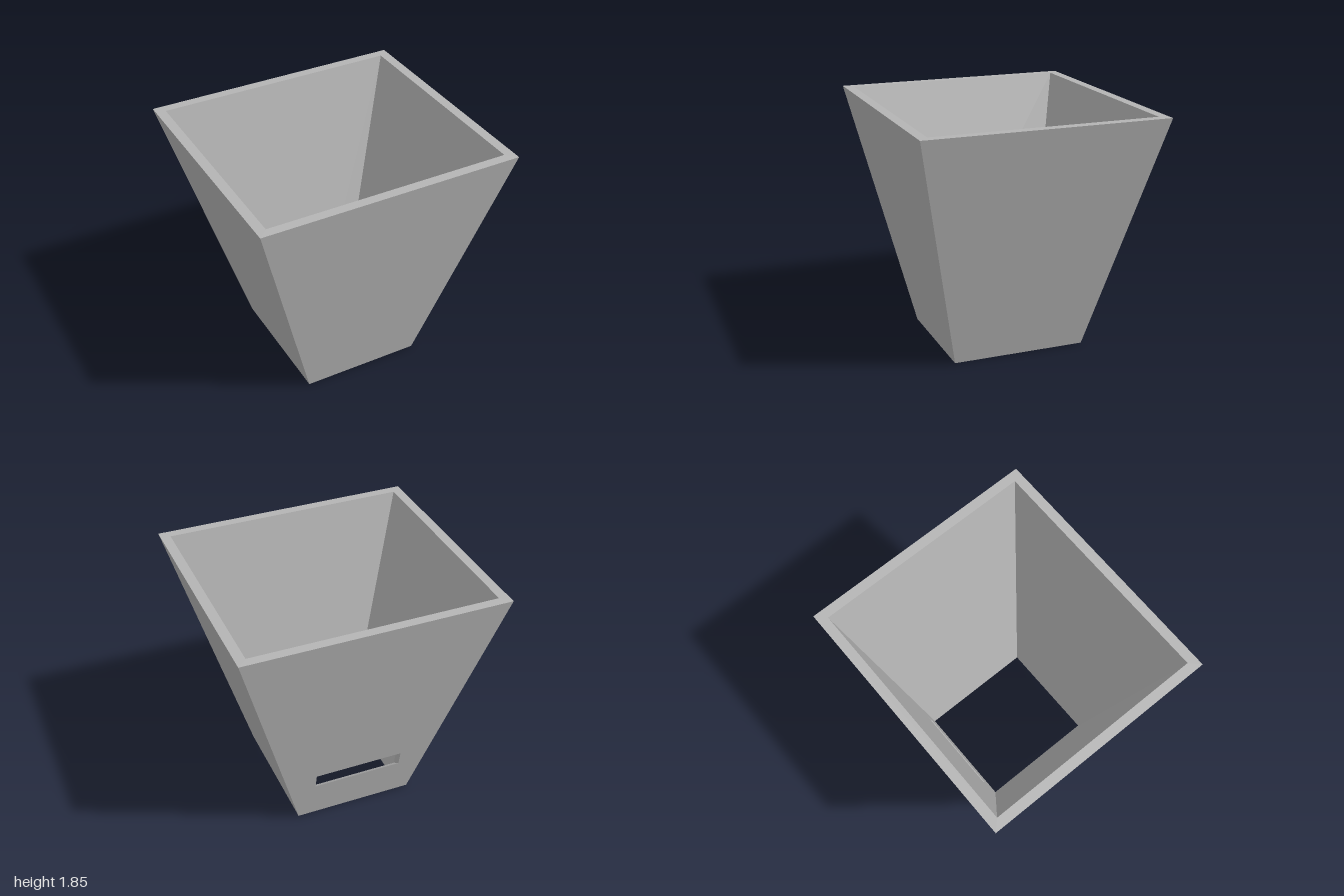
import * as THREE from 'three';

const H = 1.85;

// Four corners of a level rectangle, counter-clockwise from above
const ring = (x, z, y) => [[x, y, z], [x, y, -z], [-x, y, -z], [-x, y, z]];

// Quads joining two four-cornered loops, optionally only on some sides
function band(a, b, sides = [0, 1, 2, 3]) {
  const out = [];
  for (const i of sides) {
    const j = (i + 1) % 4;
    out.push(...a[i], ...a[j], ...b[j], ...a[i], ...b[j], ...b[i]);
  }
  return out;
}

export function createModel() {
  const group = new THREE.Group();
  group.name = 'taperedPlanter';
  const grey = new THREE.MeshStandardMaterial({ color: 0xb4b4b4 });
  grey.name = 'plainGrey';

  const add = (name, ...bands) => {
    const geo = new THREE.BufferGeometry();
    geo.setAttribute('position', new THREE.Float32BufferAttribute(bands.flat(), 3));
    geo.computeVertexNormals();
    const mesh = new THREE.Mesh(geo, grey);
    mesh.name = name;
    group.add(mesh);
  };

  // Outer and inner shell corners
  const outerBottom = ring(0.46, 0.515, 0), outerTop = ring(1, 0.922, H);
  const innerBottom = ring(0.402, 0.453, 0), innerTop = ring(0.926, 0.849, H);

  // Plain walls, each with its outer and inner face
  const walls = { leftWall: 0, rightWall: 2, frontWall: 3 };
  for (const [name, side] of Object.entries(walls)) {
    add(name, band(outerBottom, outerTop, [side]), band(innerTop, innerBottom, [side]));
  }

  // Open top rim and open base
  add('topRim', band(outerTop, innerTop));
  add('baseRim', band(innerBottom, outerBottom));

  // Back wall with a slot that slopes down towards the inside
  const backFace = (bottom, top) => [bottom[1], bottom[2], top[2], top[1]];
  const slotLoop = (face, y0, y1) => {
    const zAt = (y) => THREE.MathUtils.lerp(face[0][2], face[3][2], y / H);
    const w = 0.345;
    return [[w, y0, zAt(y0)], [-w, y0, zAt(y0)], [-w, y1, zAt(y1)], [w, y1, zAt(y1)]];
  };
  const outerFace = backFace(outerBottom, outerTop);
  const innerFace = backFace(innerBottom, innerTop);
  const slotOuter = slotLoop(outerFace, 0.325, 0.445);
  const slotInner = slotLoop(innerFace, 0.268, 0.387);
  add('backWall', band(outerFace, slotOuter), band(slotInner, innerFace));
  add('slotSides', band(slotOuter, slotInner));

  return group;
}
